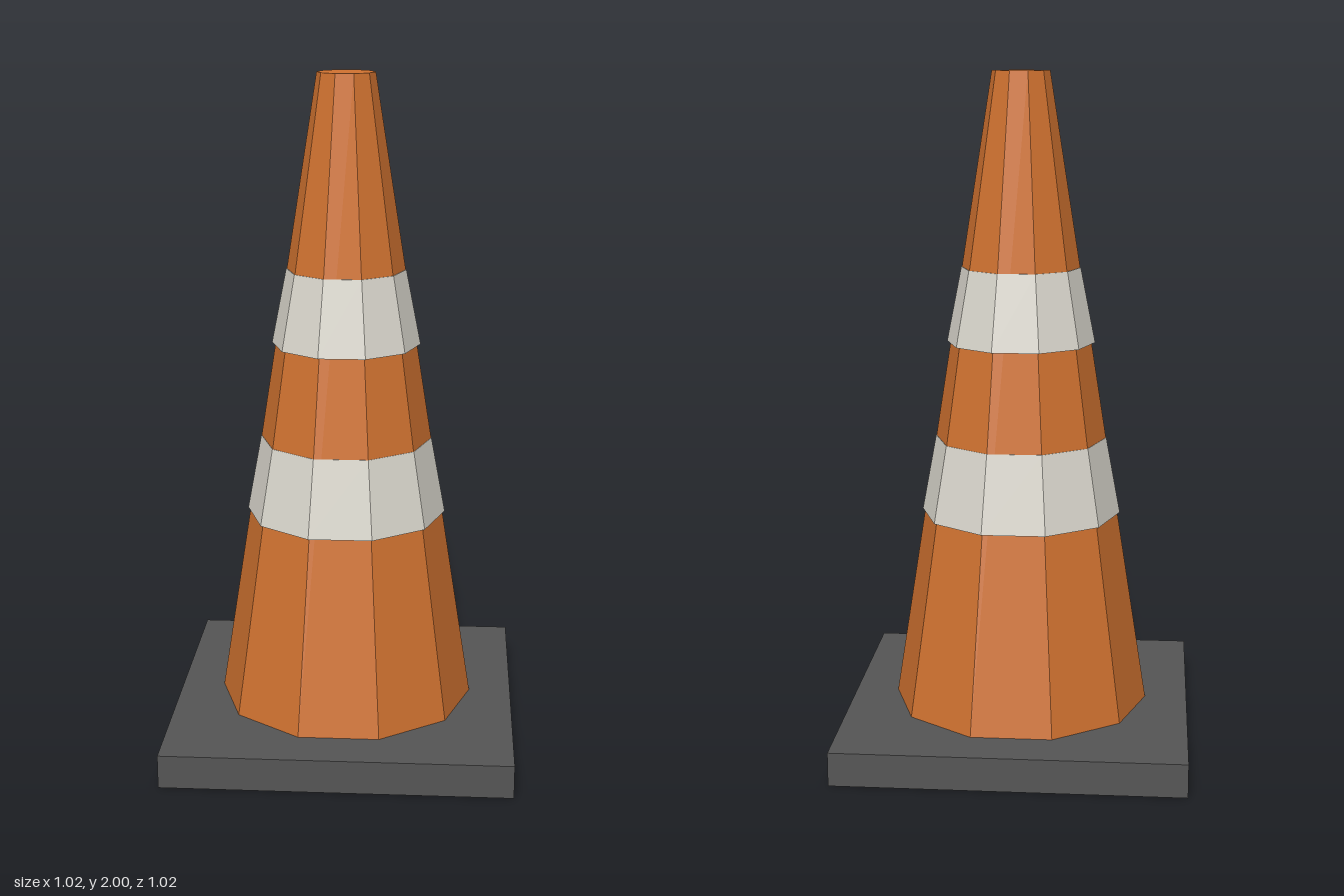
import * as THREE from 'three';

const SIDES = 10;

export function createModel() {
  const group = new THREE.Group();
  const material = (name, color) => {
    const m = new THREE.MeshStandardMaterial({ color, flatShading: true });
    m.name = name;
    return m;
  };
  const orange = material('orange', 0xd07230);
  const white = material('offWhite', 0xdbd8ce);
  const grey = material('darkGrey', 0x555555);

  const add = (name, geometry, mat, y) => {
    const mesh = new THREE.Mesh(geometry, mat);
    mesh.name = name;
    mesh.position.y = y;
    group.add(mesh);
  };
  // Ten-sided tapered section with corners on the x axis
  const section = (name, mat, y0, y1, r0, r1) =>
    add(name, new THREE.CylinderGeometry(r1, r0, y1 - y0, SIDES, 1, false, Math.PI / 2), mat, (y0 + y1) / 2);

  // Square foot
  add('base', new THREE.BoxGeometry(1.024, 0.1, 1.024), grey, 0.05);

  // Tapered body
  section('cone', orange, 0.1, 2, 0.385, 0.085);

  // Reflective bands, flaring slightly at their lower edge
  section('lowerBand', white, 0.687, 0.918, 0.3, 0.257);
  section('upperBand', white, 1.207, 1.43, 0.221, 0.177);

  return group;
}
